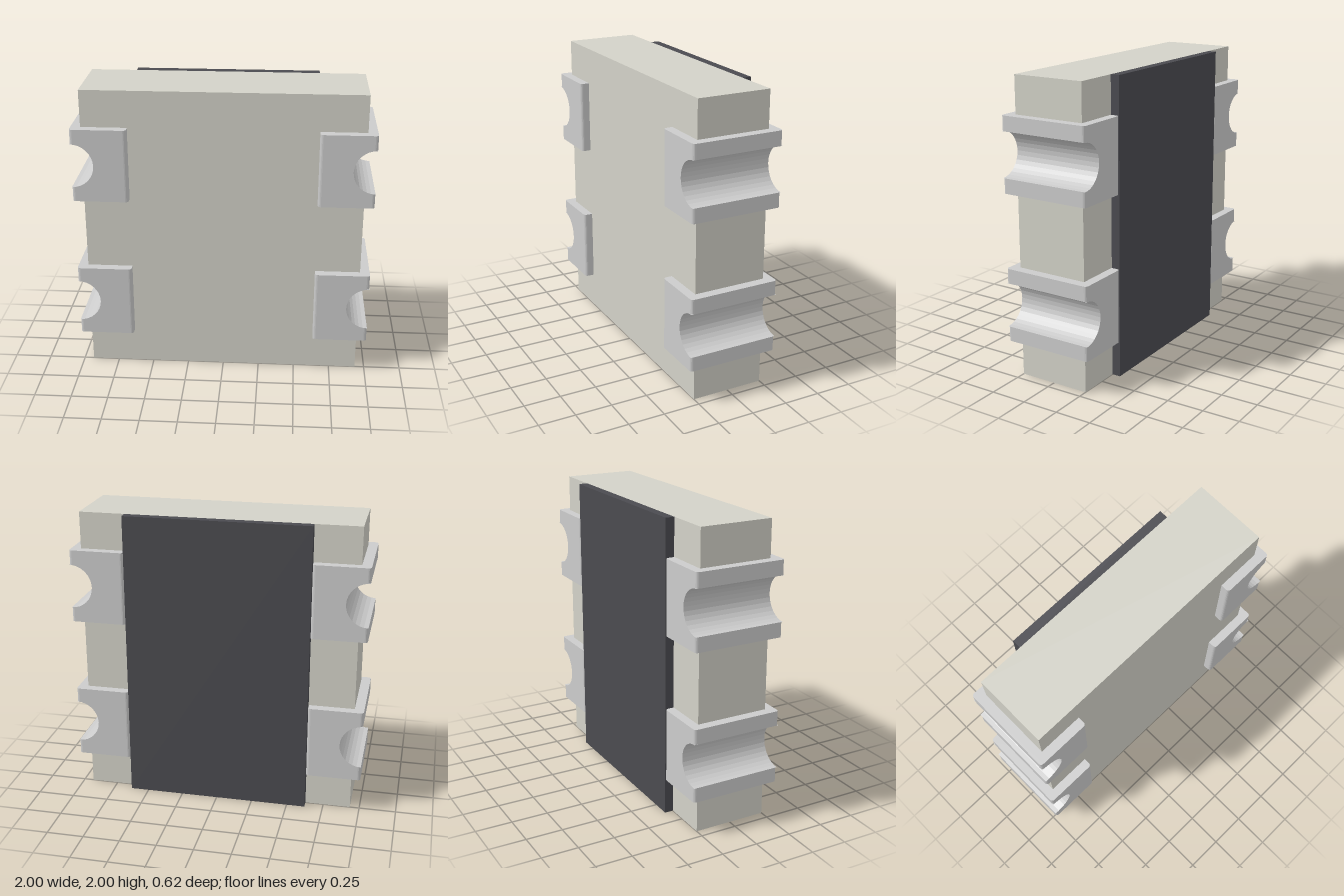
import * as THREE from 'three';

const ROWS = [0.5, 1.5]; // heights of the terminal rows
const BODY_X = 0.935, BODY_Z = 0.25, OUTER_Z = 0.3125;
const NOTCH = 0.15, FILLET = 0.02;

const material = (color) => new THREE.MeshStandardMaterial({ color });

function addMesh(parent, name, geometry, mat) {
  const mesh = new THREE.Mesh(geometry, mat);
  mesh.name = name;
  parent.add(mesh);
  return mesh;
}

// Slab with clearance notches under the terminals
function bodyGeometry() {
  const r = NOTCH + 0.02;
  const a = Math.acos((1 - BODY_X) / r);
  const s = new THREE.Shape();
  s.moveTo(-BODY_X, 0);
  s.lineTo(BODY_X, 0);
  for (const y of ROWS) s.absarc(1, y, r, Math.PI + a, Math.PI - a, true);
  s.lineTo(BODY_X, 2);
  s.lineTo(-BODY_X, 2);
  for (const y of [...ROWS].reverse()) s.absarc(-1, y, r, a, -a, true);
  s.closePath();
  return new THREE.ExtrudeGeometry(s, { depth: 2 * BODY_Z, bevelEnabled: false, curveSegments: 16 })
    .translate(0, 0, -BODY_Z);
}

// Horizontal section: rectangle with rounded corners, cut off at xOut
function section(y, xOut, rOut) {
  const xIn = 0.628, steps = 4, ring = [];
  for (let corner = 0; corner < 4; corner++) {
    const outer = corner === 0 || corner === 3;
    const r = outer ? rOut : FILLET;
    const cx = outer ? xOut - r : xIn + r;
    const cz = (corner < 2 ? 1 : -1) * (OUTER_Z - r);
    for (let i = 0; i <= steps; i++) {
      const t = (corner + i / steps) * Math.PI / 2;
      ring.push([cx + r * Math.cos(t), y, cz + r * Math.sin(t)]);
    }
  }
  return ring;
}

// Terminal block: sections lofted upward past a half-round notch
function terminalGeometry() {
  const rings = [section(-0.25, 1, FILLET), section(-NOTCH, 1, FILLET)];
  const segments = 16;
  for (let i = 0; i <= segments; i++) {
    const t = Math.PI * i / segments;
    rings.push(section(-NOTCH * Math.cos(t), 1 - NOTCH * Math.sin(t), 0));
  }
  rings.push(section(NOTCH, 1, FILLET), section(0.25, 1, FILLET));

  const pos = [];
  const tri = (a, b, c) => pos.push(...a, ...b, ...c);
  const n = rings[0].length, top = rings[rings.length - 1], base = rings[0];
  for (let k = 0; k < rings.length - 1; k++) {
    const lo = rings[k], up = rings[k + 1];
    for (let i = 0; i < n; i++) {
      const j = (i + 1) % n;
      tri(lo[i], up[i], lo[j]);
      tri(lo[j], up[i], up[j]);
    }
  }
  for (let i = 1; i < n - 1; i++) {
    tri(base[0], base[i], base[i + 1]);
    tri(top[0], top[i + 1], top[i]);
  }
  const g = new THREE.BufferGeometry();
  g.setAttribute('position', new THREE.Float32BufferAttribute(pos, 3));
  g.computeVertexNormals();
  return g;
}

export function createModel() {
  const model = new THREE.Group();
  model.name = 'chipResistorArray';

  addMesh(model, 'ceramicBody', bodyGeometry(), material(0xd3d2c8));

  // Dark coating on the back
  const coating = addMesh(model, 'backCoating', new THREE.BoxGeometry(1.25, 2, 0.06), material(0x4b4b50));
  coating.position.set(0, 1, -BODY_Z - 0.03);

  // Four terminals, the right ones turned half round
  const geometry = terminalGeometry(), metal = material(0xcccccc);
  for (const [side, turn] of [['left', 0], ['right', Math.PI]]) {
    ROWS.forEach((y, i) => {
      const t = addMesh(model, `${side}${i ? 'Upper' : 'Lower'}Terminal`, geometry, metal);
      t.position.y = y;
      t.rotation.y = turn;
    });
  }
  return model;
}
